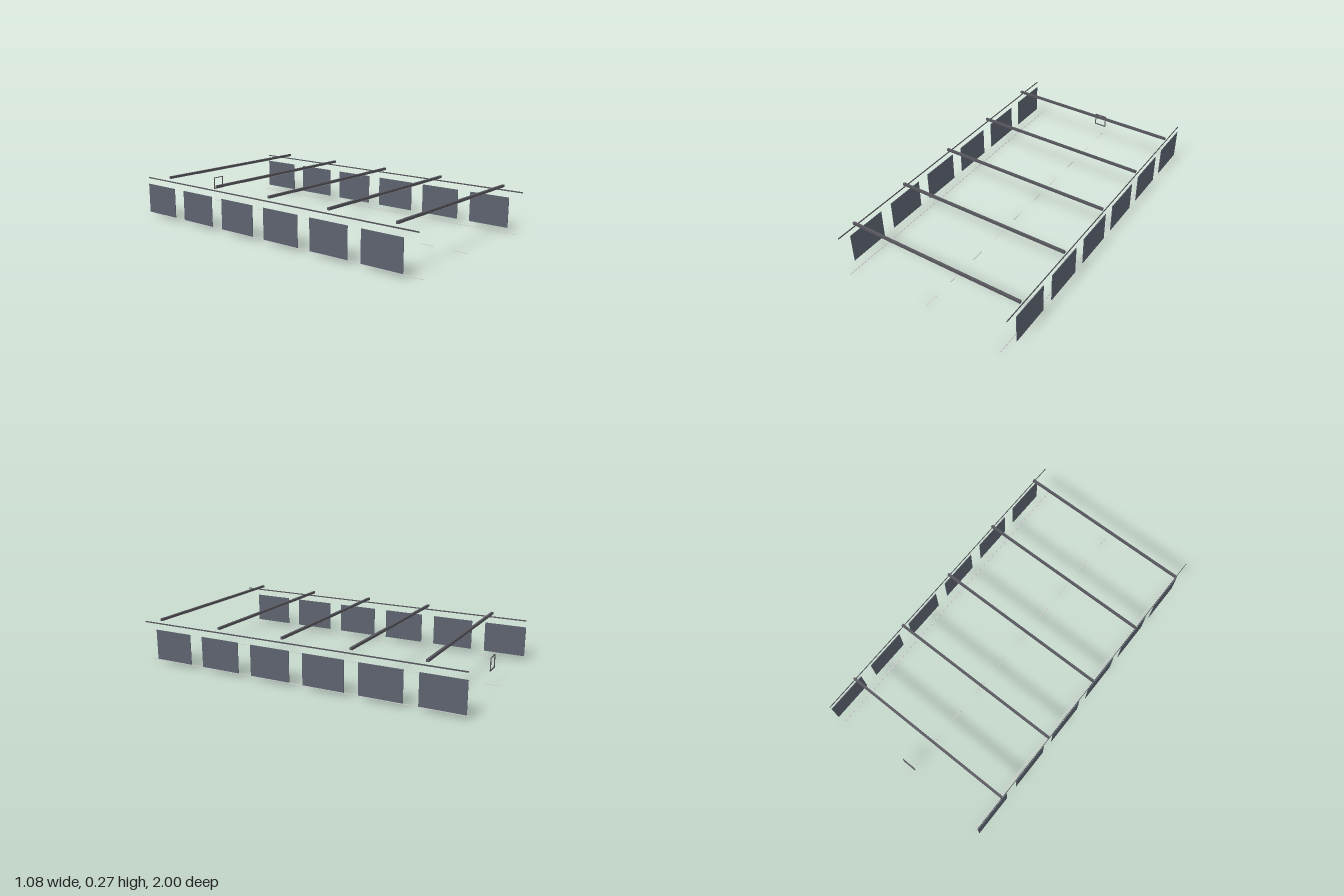
import * as THREE from 'three';

export function createModel() {
  const model = new THREE.Group();
  const grey = new THREE.MeshStandardMaterial({ color: 0xcccccc });
  const slate = new THREE.MeshStandardMaterial({ color: 0x5c626e });
  const dark = new THREE.MeshStandardMaterial({ color: 0x55555c });

  function box(name, material, size, position) {
    const mesh = new THREE.Mesh(new THREE.BoxGeometry(...size), material);
    mesh.name = name;
    mesh.position.set(...position);
    model.add(mesh);
  }

  // side walls: window panels, upper rail and floor edge line
  for (const [side, s] of [['left', 1], ['right', -1]]) {
    for (let i = 0; i < 6; i++) {
      box(`${side}Panel${i + 1}`, slate, [0.003, 0.18, 0.25], [s * 0.54, 0.11, -0.875 + i / 3]);
    }
    box(`${side}Rail`, dark, [0.003, 0.007, 2], [s * 0.54, 0.24, 0]);
    box(`${side}FloorLine`, grey, [0.006, 0.002, 2], [s * 0.5, 0.002, 0]);
  }

  // ceiling beams, each with a thin light strip underneath
  for (let i = 0; i < 5; i++) {
    const z = -0.79 + i * 0.4165;
    box(`ceilingBeam${i + 1}`, dark, [1.08, 0.014, 0.014], [0, 0.265, z]);
    box(`lightStrip${i + 1}`, grey, [0.654, 0.003, 0.006], [0, 0.2565, z]);
  }

  // dashed line along the middle of the floor
  for (let i = 0; i < 10; i++) {
    box(`floorDash${i + 1}`, grey, [0.005, 0.002, 0.083], [0, 0.002, -0.9585 + i * 0.2083]);
  }

  // square frame hanging near the back end
  for (const s of [-1, 1]) {
    box(s < 0 ? 'frameBottom' : 'frameTop', dark, [0.078, 0.005, 0.005], [0, 0.1275 + s * 0.0365, -0.96]);
    box(s < 0 ? 'frameRight' : 'frameLeft', dark, [0.005, 0.068, 0.005], [s * 0.0365, 0.1275, -0.96]);
  }

  // rest the floor lines on the ground
  for (const part of model.children) {
    if (part.name.startsWith('floorDash') || part.name.endsWith('FloorLine')) part.position.y = 0.001;
  }
  return model;
}
